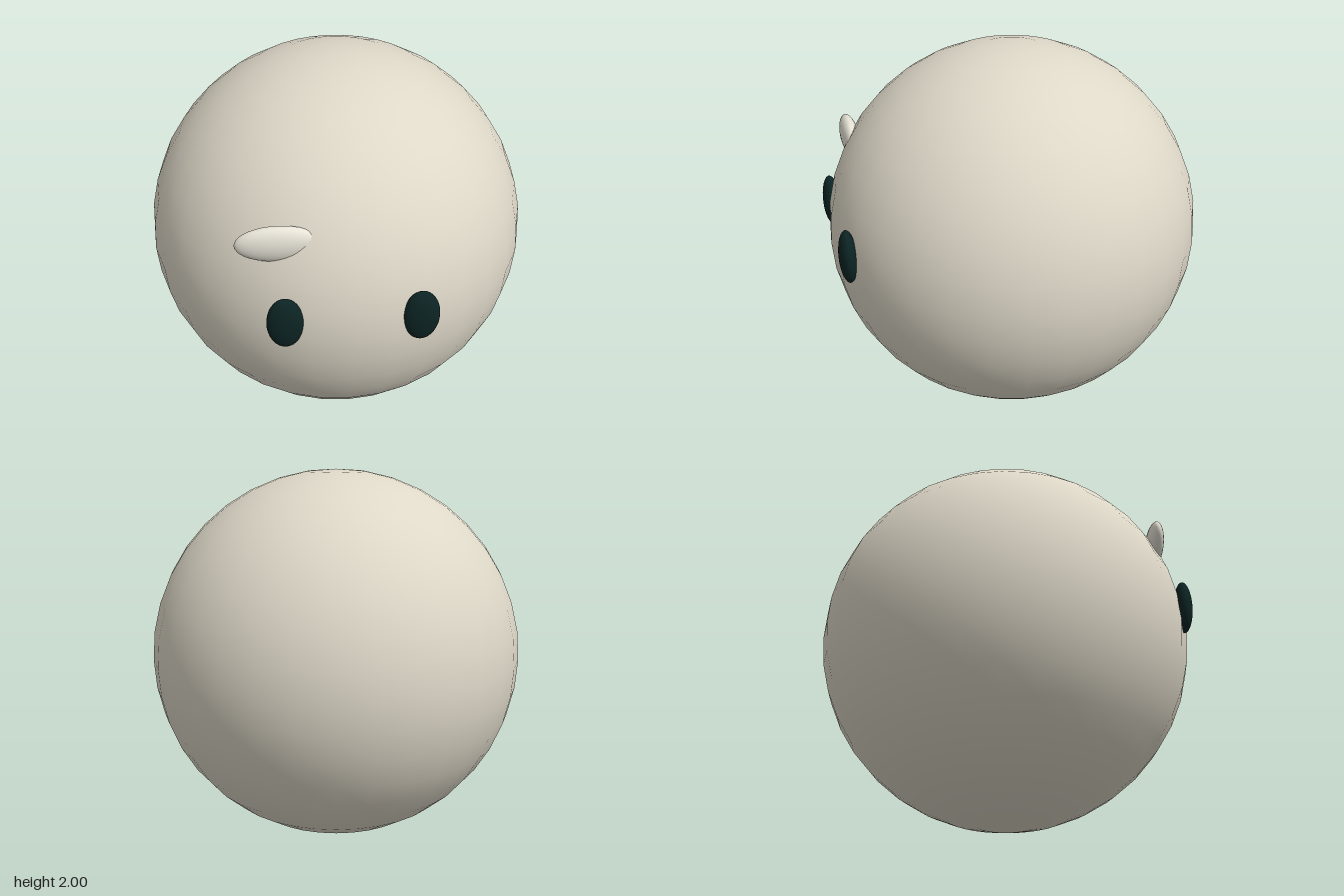
import * as THREE from 'three';

export function createModel() {
  const group = new THREE.Group();
  const material = (name, color) => {
    const m = new THREE.MeshStandardMaterial({ color });
    m.name = name;
    return m;
  };
  const cream = material('warm cream', 0xded8c8);
  const pale = material('pale cream', 0xe6e2d6);
  const dark = material('dark teal', 0x0d2424);

  // Smooth ellipsoid from its centre and half sizes
  const ellipsoid = (name, mat, centre, radii, columns, rows) => {
    const geometry = new THREE.SphereGeometry(1, columns, rows);
    geometry.scale(...radii);
    const mesh = new THREE.Mesh(geometry, mat);
    mesh.name = name;
    mesh.position.set(...centre);
    group.add(mesh);
  };

  // Round body
  ellipsoid('body', cream, [0, 1, 0], [1, 1, 1], 32, 20);

  // Mirrored oval eyes, half sunk into the body
  for (const [name, side] of [['leftEye', 1], ['rightEye', -1]]) {
    ellipsoid(name, dark, [side * 0.323, 1.092, 0.95], [0.088, 0.144, 0.046], 32, 20);
  }

  // Flat oval highlight above the right eye
  ellipsoid('highlight', pale, [-0.34, 1.46, 0.818], [0.2, 0.095, 0.048], 32, 20);

  return group;
}
